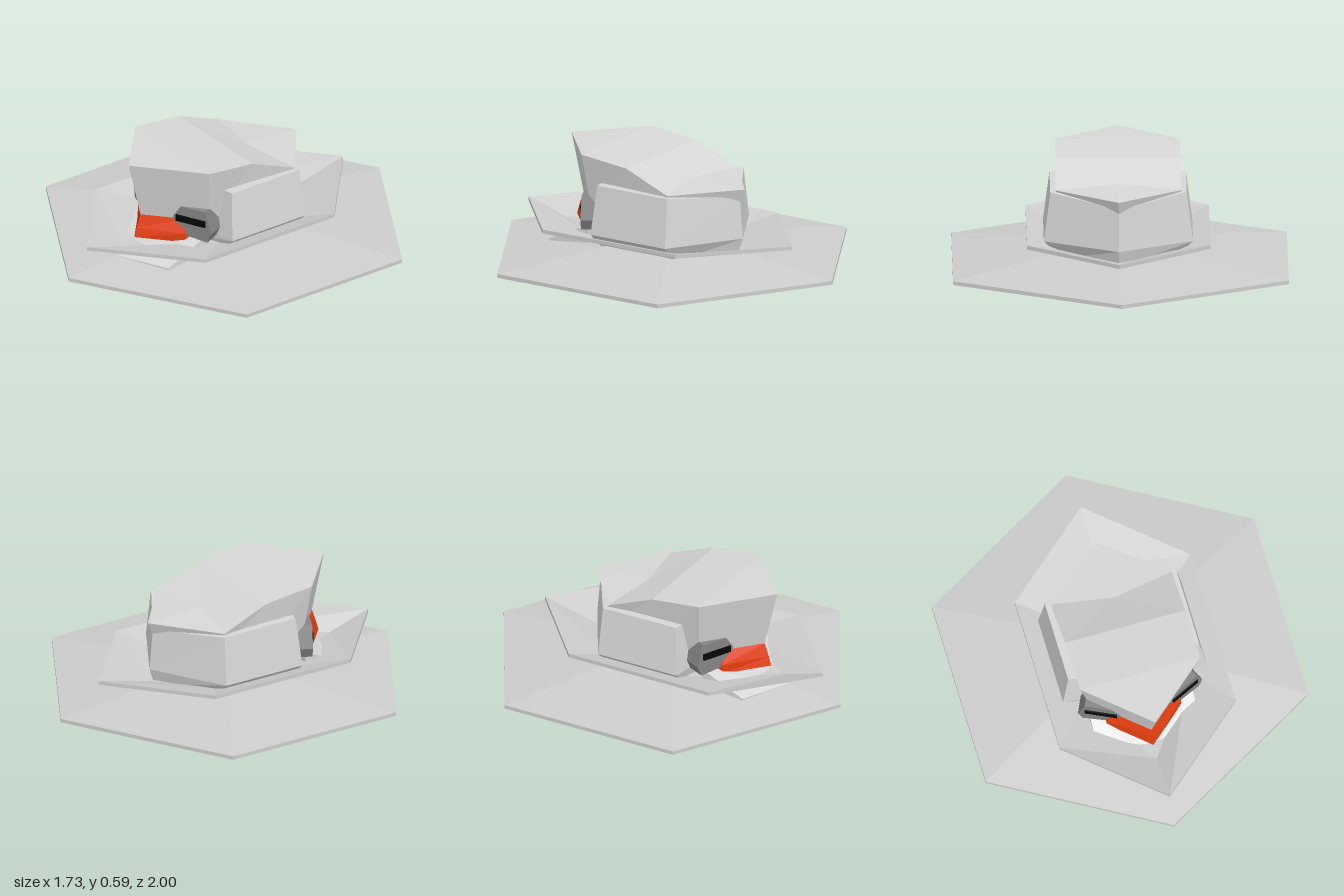
import * as THREE from 'three';

const mat = (name, color) => {
  const m = new THREE.MeshStandardMaterial({ color });
  m.name = name;
  return m;
};

// Six-sided ring, front tip first: half width w, corner z a / b, tips f / r, heights per station
const hexRing = (w, f, a, b, r, yf, ya = yf, yb = ya, yr = yb) => [
  [0, yf, f], [w, ya, a], [w, yb, b], [0, yr, r], [-w, yb, b], [-w, ya, a],
];

// Triangles fanning over a ring with n points
const fan = (n) => Array.from({ length: n - 2 }, (_, i) => [0, i + 1, i + 2]);

// Joins rings from bottom to top; roof and floor are triangle lists on the end rings
function loft(rings, roof, floor, extra = []) {
  const pos = [];
  const n = rings[0].length;
  const tri = (...p) => p.forEach((q) => pos.push(...q));
  for (let i = 0; i + 1 < rings.length; i++) {
    for (let k = 0; k < n; k++) {
      const j = (k + 1) % n;
      const [lo, hi] = [rings[i], rings[i + 1]];
      tri(lo[k], lo[j], hi[j]);
      tri(lo[k], hi[j], hi[k]);
    }
  }
  const top = [...rings[rings.length - 1], ...extra];
  (roof || []).forEach((t) => tri(...t.map((i) => top[i])));
  (floor || []).forEach(([a, b, c]) => tri(rings[0][a], rings[0][c], rings[0][b]));
  const g = new THREE.BufferGeometry();
  g.setAttribute('position', new THREE.Float32BufferAttribute(pos, 3));
  g.computeVertexNormals();
  return g;
}

export function createModel() {
  const light = mat('light grey', 0xd6d6d6);
  const plate = mat('plate grey', 0xcccccc);
  const dark = mat('dark grey', 0x858585);
  const orange = mat('orange', 0xe63e10);
  const black = mat('black', 0x080808);
  for (const m of [light, plate, dark, orange, black]) m.flatShading = true;

  const model = new THREE.Group();
  const upper = new THREE.Group();
  upper.name = 'upperBody';
  upper.position.x = 0.01;
  model.add(upper);
  const add = (parent, name, geometry, material) => {
    const mesh = new THREE.Mesh(geometry, material);
    mesh.name = name;
    parent.add(mesh);
    return mesh;
  };
  const cap = fan(6);

  // Wide base: thin rim, shallow rise, black underside
  const baseRing = (r, y) => hexRing(r * 0.866, r, r / 2, -r / 2, -r, y);
  add(model, 'base', loft([baseRing(1, 0.03), baseRing(1, 0.05), baseRing(0.3, 0.128)], cap), plate);
  add(model, 'baseUnderside', loft([baseRing(1, 0.03)], null, cap), black);

  // Jaw that slopes forward and passes through the base
  const jawLow = hexRing(0.275, 0.69, 0.57, 0.33, 0.32, 0, 0.005, 0.029);
  const jawTop = hexRing(0.275, 0.69, 0.57, 0.33, 0.32, 0.085, 0.09, 0.2);
  add(upper, 'jaw', loft([jawLow, jawTop], cap), light);
  add(upper, 'jawUnderside', loft([jawLow], null, cap), black);

  // Shallow dish around the body
  const dishRim = (s, y) => hexRing(0.473 * s, 0.89 * s, 0.48 * s, -0.35 * s, -0.76 * s, y);
  add(upper, 'dish', loft([
    hexRing(0.28, 0.65, 0.25, -0.22, -0.45, 0.112, 0.128, 0.128, 0.112),
    dishRim(1, 0.18),
    dishRim(1, 0.2),
    hexRing(0.28, 0.65, 0.25, -0.22, -0.45, 0.125, 0.14, 0.14, 0.125),
  ], cap, cap), plate);

  // Body with sides that lean in slightly
  add(upper, 'body', loft([
    hexRing(0.29, 0.3, 0.23, -0.22, -0.42, 0.1),
    hexRing(0.385, 0.3, 0.24, -0.225, -0.45, 0.19),
    hexRing(0.352, 0.28, 0.22, -0.215, -0.43, 0.45, 0.45, 0.448, 0.41),
  ], cap, cap), light);

  // Head: overhanging front wedge and a roof that drops to the rear tip
  const headRing = (half) => [
    ...half,
    ...half.slice(1, -1).reverse().map(([x, y, z]) => [-x, y, z]),
  ];
  const headLow = headRing([
    [0, 0.28, 0.545], [0.27, 0.28, 0.31], [0.29, 0.3, 0.06], [0.3, 0.36, -0.18], [0, 0.36, -0.42],
  ]);
  const headTop = headRing([
    [0, 0.59, 0.62], [0.322, 0.59, 0.34], [0.322, 0.56, 0.06], [0.325, 0.455, -0.2], [0, 0.455, -0.46],
  ]);
  const roof = [
    [0, 1, 7], [1, 2, 6], [1, 6, 7], [2, 8, 6],
    [2, 3, 8], [3, 4, 8], [8, 4, 5], [8, 5, 6],
  ];
  add(upper, 'head', loft([headLow, headTop], roof, fan(8), [[0, 0.472, -0.14]]), light);

  // Orange face below the head
  add(upper, 'face', loft([
    hexRing(0.2, 0.585, 0.41, 0.25, 0.2, 0.16),
    hexRing(0.2, 0.57, 0.41, 0.25, 0.2, 0.21),
    hexRing(0.18, 0.545, 0.39, 0.25, 0.2, 0.281),
  ], cap, cap), orange);

  // Eye housings with black slits, mirrored
  const outline = new THREE.Shape([
    [-0.12, 0.3], [-0.07, 0.36], [0.075, 0.36], [0.11, 0.24], [0.085, 0.185], [-0.05, 0.2], [-0.1, 0.26],
  ].map(([x, y]) => new THREE.Vector2(x, y)));
  const eyeGeometry = new THREE.ExtrudeGeometry(outline, { depth: 0.12, bevelEnabled: false });
  eyeGeometry.translate(0, 0, -0.12);
  for (const side of [1, -1]) {
    const mirror = new THREE.Group();
    mirror.name = side > 0 ? 'leftEye' : 'rightEye';
    mirror.scale.x = side;
    const eye = new THREE.Group();
    eye.name = 'eyeParts';
    eye.position.set(0.235, 0, 0.385);
    eye.rotation.y = 0.44;
    add(eye, 'eyeHousing', eyeGeometry, dark);
    add(eye, 'eyeSlit', new THREE.BoxGeometry(0.17, 0.036, 0.008), black).position.set(-0.01, 0.29, 0.003);
    mirror.add(eye);
    upper.add(mirror);
  }
  return model;
}
